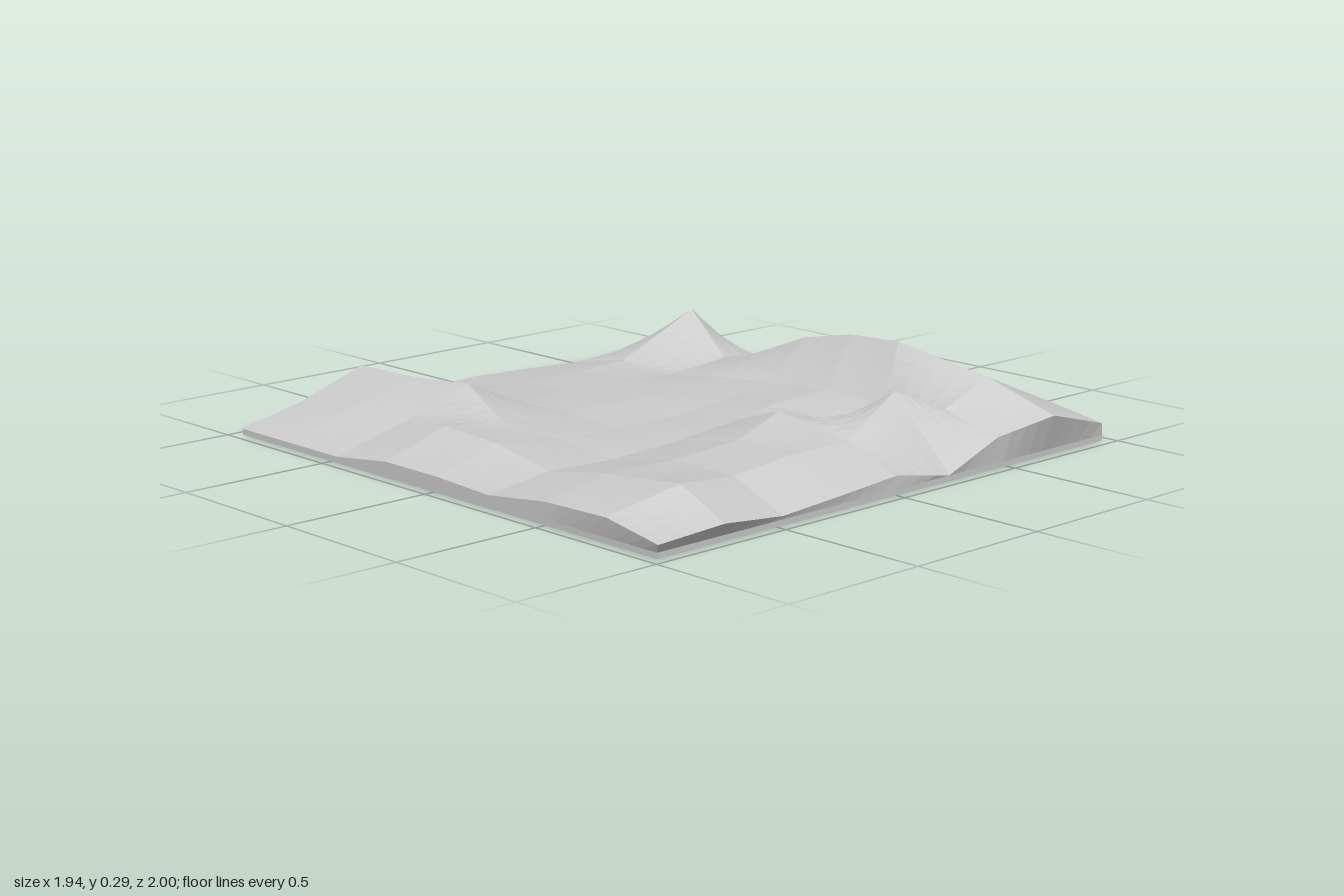
import * as THREE from 'three';

// Control heights: one row per z (back to front), one column per x (left to right)
const HEIGHTS = [
  [0.02, 0.07, 0.145, 0.03, 0.04, 0.03, 0.02, 0.02, 0.02],
  [0.02, 0.09, 0.155, 0.07, 0.06, 0.06, 0.07, 0.21, 0.04],
  [0.02, 0.08, 0.17, 0.08, 0.07, 0.07, 0.06, 0.08, 0.02],
  [0.05, 0.12, 0.11, 0.08, 0.08, 0.08, 0.09, 0.14, 0.02],
  [0.05, 0.11, 0.08, 0.07, 0.07, 0.09, 0.11, 0.24, 0.02],
  [0.04, 0.07, 0.06, 0.07, 0.09, 0.12, 0.13, 0.285, 0.02],
  [0.07, 0.11, 0.11, 0.13, 0.17, 0.09, 0.12, 0.295, 0.05],
  [0.08, 0.14, 0.11, 0.13, 0.13, 0.22, 0.155, 0.23, 0.10],
  [0.045, 0.06, 0.03, 0.045, 0.06, 0.02, 0.10, 0.135, 0.06],
];
const XS = [-0.965, -0.73, -0.48, -0.24, 0, 0.23, 0.45, 0.6, 0.965];
const ZS = [-0.97, -0.71, -0.47, -0.23, 0.01, 0.25, 0.5, 0.77, 0.97];

// Sideways shifts of single control points: 'row,column': [x, z]
const SHIFTS = {
  '0,2': [0.02, -0.03], '1,2': [0.01, 0], '2,2': [0.03, 0.01], '3,2': [-0.06, 0.04],
  '0,7': [0.13, 0], '1,7': [0.155, 0.02], '2,7': [0.1, 0], '3,7': [0.01, -0.02],
  '5,7': [-0.01, -0.02], '6,7': [-0.02, -0.06], '7,7': [0.02, 0.01], '8,7': [0.08, 0.03],
  '7,5': [0.07, -0.09], '7,6': [-0.02, 0], '7,1': [0, 0.04], '6,4': [0, -0.02],
  '6,2': [0, 0.02], '6,3': [0, 0.04], '8,1': [0, 0.02], '8,0': [-0.01, 0.01],
  '7,0': [-0.01, 0], '7,8': [-0.03, 0], '8,8': [-0.01, 0], '8,4': [0, -0.005],
};

const STEPS = 4;
const N = 8 * STEPS;
const RIM = 0.965;

function controlPoint(r, c) {
  const [dx, dz] = SHIFTS[`${r},${c}`] ?? [0, 0];
  return new THREE.Vector3(XS[c] + dx, HEIGHTS[r][c], ZS[r] + dz);
}

// Bilinear patch between four control points
function surfacePoint(row, col) {
  const r = Math.min(Math.floor(row / STEPS), 7);
  const c = Math.min(Math.floor(col / STEPS), 7);
  const u = col / STEPS - c;
  const v = row / STEPS - r;
  const back = controlPoint(r, c).lerp(controlPoint(r, c + 1), u);
  const front = controlPoint(r + 1, c).lerp(controlPoint(r + 1, c + 1), u);
  return back.lerp(front, v);
}

function quadGeometry(quads) {
  const pos = [];
  for (const [a, b, c, d] of quads) {
    for (const p of [a, b, c, a, c, d]) pos.push(p.x, p.y, p.z);
  }
  const g = new THREE.BufferGeometry();
  g.setAttribute('position', new THREE.Float32BufferAttribute(pos, 3));
  g.computeVertexNormals();
  return g;
}

export function createModel() {
  const group = new THREE.Group();
  group.name = 'terrainTile';
  const material = new THREE.MeshStandardMaterial({
    color: 0xcccccc, flatShading: true, side: THREE.DoubleSide,
  });
  const add = (name, geometry) => {
    const mesh = new THREE.Mesh(geometry, material);
    mesh.name = name;
    group.add(mesh);
  };

  // Hilly ground
  const ground = [];
  for (let r = 0; r < N; r++) {
    for (let c = 0; c < N; c++) {
      ground.push([
        surfacePoint(r, c), surfacePoint(r + 1, c),
        surfacePoint(r + 1, c + 1), surfacePoint(r, c + 1),
      ]);
    }
  }
  add('ground', quadGeometry(ground));

  // Skirt from the ground's edge down to the square base, counterclockwise from above
  const loop = [];
  for (let i = 0; i < N; i++) loop.push([i, 0]);
  for (let i = 0; i < N; i++) loop.push([N, i]);
  for (let i = N; i > 0; i--) loop.push([i, N]);
  for (let i = N; i > 0; i--) loop.push([0, i]);
  const edge = loop.map(([r, c]) => surfacePoint(r, c));
  const rim = (y) => loop.map(([r, c]) =>
    new THREE.Vector3((2 * c / N - 1) * RIM, y, (2 * r / N - 1) * RIM));
  const rings = [rim(0), rim(0.018), edge];
  const skirt = [];
  for (let k = 0; k < 2; k++) {
    for (let i = 0; i < loop.length; i++) {
      const j = (i + 1) % loop.length;
      skirt.push([rings[k][i], rings[k][j], rings[k + 1][j], rings[k + 1][i]]);
    }
  }
  add('skirt', quadGeometry(skirt));

  // Flat underside
  const underside = new THREE.PlaneGeometry(2 * RIM, 2 * RIM);
  underside.rotateX(Math.PI / 2);
  add('underside', underside);

  return group;
}
